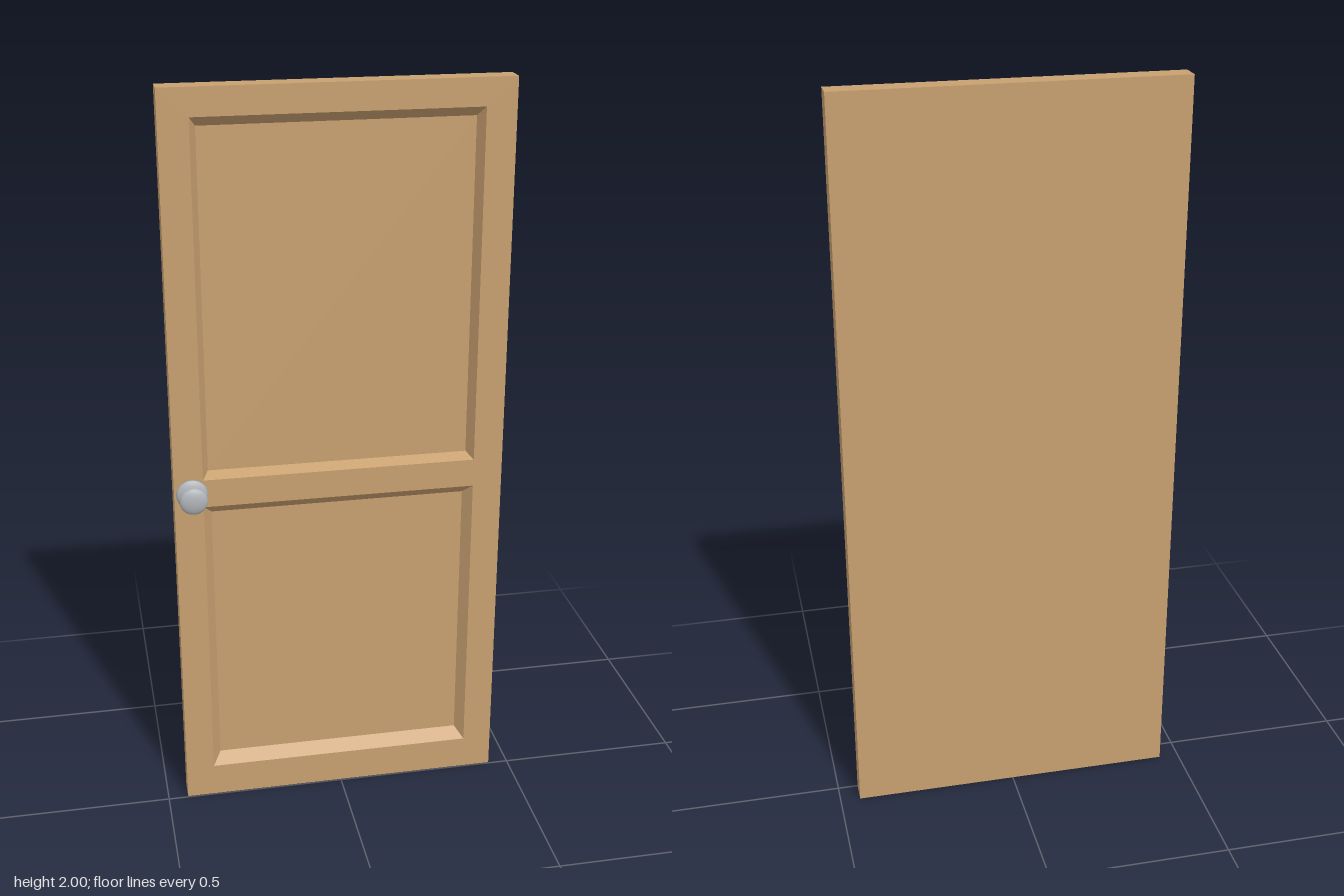
import * as THREE from 'three';

const FRONT = -0.0035, BACK = -0.0605, PANEL = -0.0335;

// Rectangles as [left, bottom, right, top]
const OUTLINE = [-0.445, 0, 0.445, 2];
const RECESSES = [
  { name: 'upper', outer: [-0.368, 0.983, 0.366, 1.928], inner: [-0.351, 0.998, 0.35, 1.902] },
  { name: 'lower', outer: [-0.368, 0.093, 0.366, 0.906], inner: [-0.345, 0.122, 0.344, 0.878] },
];

const corners = ([l, b, r, t]) => [[l, b], [r, b], [r, t], [l, t]];
const path = (rect, Type) => new Type(corners(rect).map(([x, y]) => new THREE.Vector2(x, y)));

// Four flat faces joining one rectangle to another at a different depth
function ring(rectA, zA, rectB, zB) {
  const a = corners(rectA), b = corners(rectB), pos = [];
  for (let i = 0; i < 4; i++) {
    const j = (i + 1) % 4;
    pos.push(...a[i], zA, ...a[j], zA, ...b[i], zB);
    pos.push(...a[j], zA, ...b[j], zB, ...b[i], zB);
  }
  const geo = new THREE.BufferGeometry();
  geo.setAttribute('position', new THREE.Float32BufferAttribute(pos, 3));
  geo.computeVertexNormals();
  return geo;
}

// Flat upright rectangle facing the front
function plate([l, b, r, t], z) {
  return new THREE.PlaneGeometry(r - l, t - b).translate((l + r) / 2, (b + t) / 2, z);
}

export function createModel() {
  const wood = new THREE.MeshStandardMaterial({ color: 0xc8a070 });
  wood.name = 'wood';
  const metal = new THREE.MeshStandardMaterial({ color: 0xb0b4b8 });
  metal.name = 'metal';

  const model = new THREE.Group();
  model.name = 'door';
  const add = (name, geo, mat) => {
    const mesh = new THREE.Mesh(geo, mat);
    mesh.name = name;
    model.add(mesh);
    return mesh;
  };

  // Front frame with two openings
  const frame = path(OUTLINE, THREE.Shape);
  for (const r of RECESSES) frame.holes.push(path(r.outer, THREE.Path));
  add('frontFrame', new THREE.ShapeGeometry(frame).translate(0, 0, FRONT), wood);

  // Door edges and plain back
  add('doorEdges', ring(OUTLINE, BACK, OUTLINE, FRONT), wood);
  add('doorBack', plate(OUTLINE, 0).rotateY(Math.PI).translate(0, 0, BACK), wood);

  // Sunken panels with sloping borders
  for (const r of RECESSES) {
    add(r.name + 'Bevel', ring(r.outer, FRONT, r.inner, PANEL), wood);
    add(r.name + 'Panel', plate(r.inner, PANEL), wood);
  }

  // Knob: rosette dome, stem and flattened ball, as [radius, z]
  const profile = [[0, FRONT], [0.008, FRONT], [0.008, 0], [0.042, 0]];
  for (let i = 1; i <= 8; i++) {
    const a = (i / 8) * 1.37;
    profile.push([0.042 * Math.cos(a), 0.0155 * Math.sin(a)]);
  }
  for (let i = 0; i <= 20; i++) {
    const a = -1.35 + (i / 20) * (1.35 + Math.PI / 2);
    profile.push([Math.max(0, 0.037 * Math.cos(a)), 0.0445 + 0.0145 * Math.sin(a)]);
  }
  const knobGeo = new THREE.LatheGeometry(profile.map(([r, z]) => new THREE.Vector2(r, z)), 40);
  knobGeo.rotateX(Math.PI / 2);
  add('knob', knobGeo, metal).position.set(-0.398, 0.947, 0);

  return model;
}
